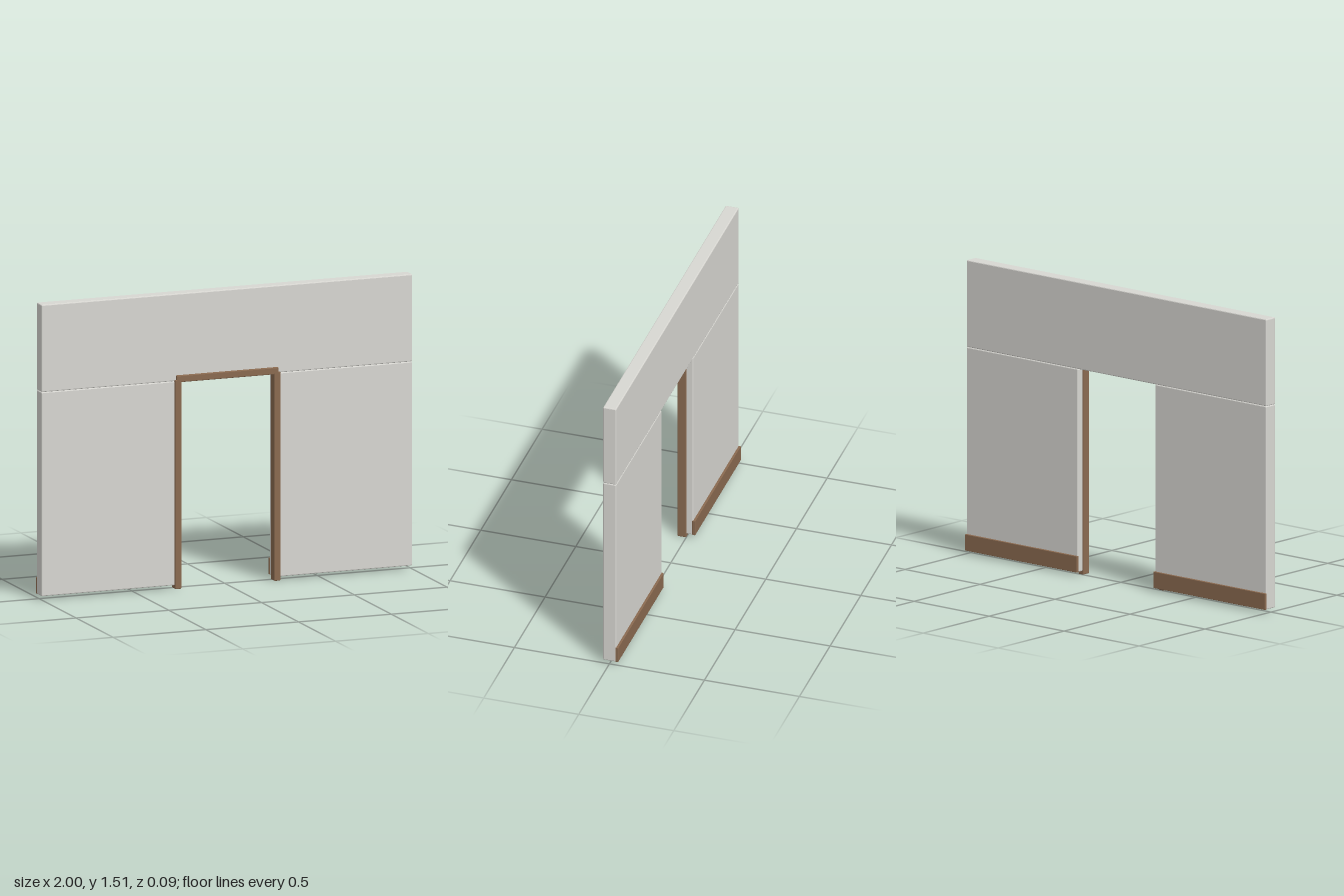
import * as THREE from 'three';
import { RoundedBoxGeometry } from 'three/addons/geometries/RoundedBoxGeometry.js';

const plaster = new THREE.MeshStandardMaterial({ color: 0xd8d7d2, flatShading: true });
const wood = new THREE.MeshStandardMaterial({ color: 0x8a6a50, flatShading: true });

// Box with narrow bevelled edges, given by its [min, max] on each axis
function bevelledBox(name, material, [x0, x1], [y0, y1], [z0, z1], bevel) {
  const geometry = new RoundedBoxGeometry(x1 - x0, y1 - y0, z1 - z0, 1, bevel);
  const mesh = new THREE.Mesh(geometry, material);
  mesh.name = name;
  mesh.position.set((x0 + x1) / 2, (y0 + y1) / 2, (z0 + z1) / 2);
  return mesh;
}

export function createModel() {
  const model = new THREE.Group();
  model.name = 'doorwayWall';

  const wallDepth = [-0.035, 0.034];
  const frameDepth = [0, 0.046];
  const jointY = 1.063;

  // Wall slab above the doorway
  model.add(bevelledBox('upperWall', plaster, [-1, 1], [jointY, 1.51], wallDepth, 0.005));

  // Wall panel, baseboard and door post on each side
  for (const [side, s] of [['left', 1], ['right', -1]]) {
    const span = (a, b) => (s > 0 ? [a, b] : [-b, -a]);
    model.add(
      bevelledBox(side + 'WallPanel', plaster, span(0.257, 1), [0.018, jointY], wallDepth, 0.005),
      bevelledBox(side + 'Baseboard', wood, span(0.255, 1), [0.018, 0.102], [-0.046, -0.03], 0.002),
      bevelledBox(side + 'DoorPost', wood, span(0.25, 0.284), [0, 1.07], frameDepth, 0.004)
    );
  }

  // Door frame head
  model.add(bevelledBox('doorFrameHead', wood, [-0.275, 0.275], [1.058, 1.093], frameDepth, 0.004));

  return model;
}
